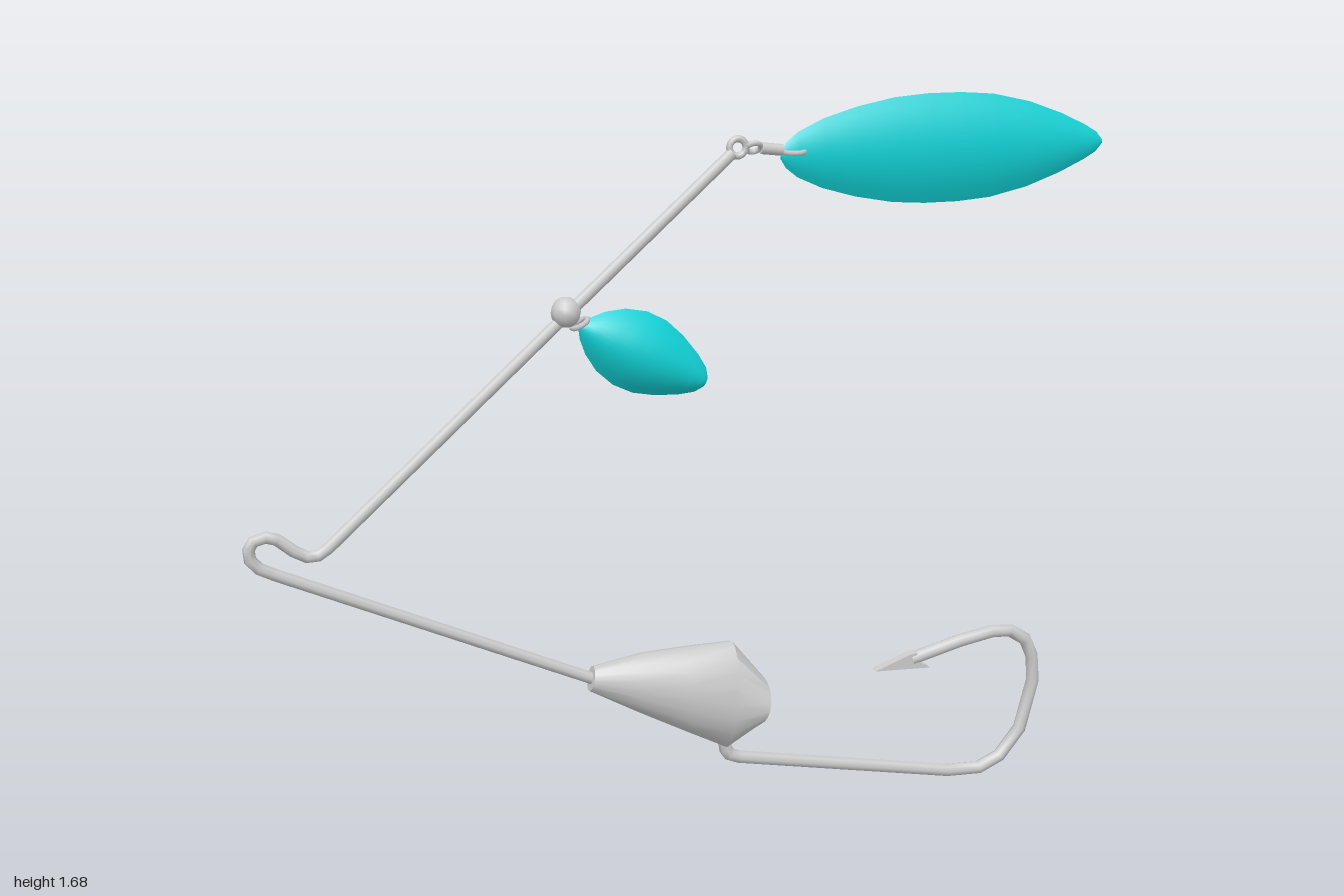
import * as THREE from 'three';
import { toCreasedNormals } from 'three/addons/utils/BufferGeometryUtils.js';

const metal = new THREE.MeshStandardMaterial({ color: 0xcccccc });
const teal = new THREE.MeshStandardMaterial({ color: 0x11d2d6, side: THREE.DoubleSide });
const Z = -0.005; // plane of the wire

// Curve whose tube rings land exactly on the bend points of a polyline
class BentWire extends THREE.Curve {
  constructor(points) {
    super();
    this.points = points.map(([x, y, z = Z]) => new THREE.Vector3(x, y, z));
  }
  getPoint(t) {
    const n = this.points.length - 1;
    const i = Math.min(Math.floor(t * n + 1e-6), n - 1);
    return this.points[i].clone().lerp(this.points[i + 1], t * n - i);
  }
  getPointAt(t) { return this.getPoint(t); }
  getTangentAt(t) {
    const p = this.points, n = p.length - 1, i = Math.round(t * n), tangent = new THREE.Vector3();
    if (i > 0) tangent.add(p[i].clone().sub(p[i - 1]).normalize());
    if (i < n) tangent.add(p[i + 1].clone().sub(p[i]).normalize());
    return tangent.normalize();
  }
}

function add(parent, name, geometry, material = metal, position = [0, 0, 0]) {
  const mesh = new THREE.Mesh(geometry, material);
  mesh.name = name;
  mesh.position.set(...position);
  parent.add(mesh);
  return mesh;
}

function wire(parent, name, points, radius) {
  return add(parent, name, new THREE.TubeGeometry(new BentWire(points), points.length - 1, radius, 8));
}

function indexed(positions, index) {
  const geometry = new THREE.BufferGeometry();
  geometry.setAttribute('position', new THREE.Float32BufferAttribute(positions, 3));
  geometry.setIndex(index);
  return geometry;
}

// Elliptical loft; each section is [topX, topY, bottomX, bottomY, halfDepth]
function headGeometry(sections, sides = 20) {
  const pos = [], index = [];
  sections.forEach(([tx, ty, bx, by, depth]) => {
    for (let j = 0; j < sides; j++) {
      const a = (j / sides) * Math.PI * 2, k = (1 + Math.cos(a)) / 2;
      pos.push(bx + (tx - bx) * k, by + (ty - by) * k, Z + depth * Math.sin(a));
    }
  });
  const last = (sections.length - 1) * sides;
  for (let j = 0; j < sides; j++) {
    const n = (j + 1) % sides;
    for (let r = 0; r < last; r += sides) {
      index.push(r + j, r + n, r + sides + j, r + n, r + sides + n, r + sides + j);
    }
    if (j > 0 && j < sides - 1) {
      index.push(0, n, j, last, last + j, last + n);
    }
  }
  return toCreasedNormals(indexed(pos, index), 0.6);
}

// Dished leaf along x; profile holds [x, halfWidth], bulging towards +z
function bladeGeometry(profile, depth, across = 10) {
  const pos = [], index = [], row = across + 1;
  const widest = Math.max(...profile.map((p) => p[1]));
  profile.forEach(([x, w], i) => {
    const fullness = w / widest;
    for (let j = 0; j <= across; j++) {
      const v = (j / across) * 2 - 1;
      pos.push(x, v * w, depth * fullness * (0.72 - v * v));
      if (i < profile.length - 1 && j < across) {
        const a = i * row + j, b = a + row;
        index.push(a, b, a + 1, b, b + 1, a + 1);
      }
    }
  });
  const geometry = indexed(pos, index);
  geometry.computeVertexNormals();
  return geometry;
}

export function createModel() {
  const model = new THREE.Group();
  model.name = 'spinnerLure';

  // Wire frame with its bent line tie
  wire(model, 'wireFrame', [
    [0.103, 1.565], [-0.28, 1.225], [-0.815, 0.748], [-0.838, 0.733], [-0.862, 0.732],
    [-0.89, 0.748], [-0.925, 0.778], [-0.948, 0.785], [-0.975, 0.778], [-0.986, 0.76],
    [-0.984, 0.737], [-0.965, 0.715], [-0.93, 0.697], [-0.2, 0.36],
  ], 0.014);

  // Weighted head, flattening towards its tail
  add(model, 'head', headGeometry([
    [-0.225, 0.402, -0.238, 0.345, 0.028],
    [-0.11, 0.42, -0.125, 0.28, 0.053],
    [0.0, 0.424, -0.01, 0.217, 0.068],
    [0.11, 0.425, 0.09, 0.163, 0.076],
    [0.19, 0.325, 0.165, 0.22, 0.08],
  ]));

  // Hook with barbed point
  wire(model, 'hook', [
    [0.075, 0.24], [0.09, 0.19], [0.095, 0.155], [0.105, 0.14], [0.13, 0.13],
    [0.4, 0.076], [0.67, 0.022], [0.755, 0.018], [0.81, 0.043], [0.862, 0.11],
    [0.892, 0.235], [0.886, 0.3], [0.866, 0.345], [0.825, 0.372], [0.775, 0.375],
    [0.69, 0.36], [0.565, 0.328],
  ], 0.016);
  const point = new THREE.Shape([
    [0.468, 0.311], [0.61, 0.305], [0.583, 0.32], [0.575, 0.347], [0.555, 0.343],
  ].map(([x, y]) => new THREE.Vector2(x, y)));
  add(model, 'hookPoint', new THREE.ExtrudeGeometry(point, { depth: 0.024, bevelEnabled: false }),
    metal, [0, 0, Z - 0.012]);

  // Swivel chain between the wire's end and the large blade
  const swivel = new THREE.Group();
  swivel.name = 'swivel';
  model.add(swivel);
  add(swivel, 'wireEye', new THREE.TorusGeometry(0.019, 0.008, 6, 14), metal, [0.115, 1.577, Z]);
  const link = add(swivel, 'swivelLink', new THREE.TorusGeometry(0.016, 0.006, 6, 12), metal, [0.152, 1.575, Z]);
  link.rotation.x = Math.PI / 4;
  const barrel = add(swivel, 'swivelBarrel', new THREE.CylinderGeometry(0.013, 0.013, 0.05, 8), metal, [0.194, 1.57, Z]);
  barrel.rotation.z = Math.PI / 2 - 0.12;
  const ring = add(swivel, 'bladeRing', new THREE.TorusGeometry(0.024, 0.006, 6, 14), metal, [0.246, 1.562, Z]);
  ring.rotation.x = Math.PI / 2;

  // Long willow-leaf blade
  add(model, 'largeBlade', bladeGeometry([
    [-0.392, 0.006], [-0.378, 0.028], [-0.35, 0.05], [-0.29, 0.077], [-0.21, 0.1], [-0.12, 0.117],
    [-0.04, 0.123], [0.04, 0.123], [0.12, 0.117], [0.21, 0.097], [0.29, 0.068],
    [0.35, 0.04], [0.38, 0.022], [0.394, 0.004],
  ], 0.034), teal, [0.605, 1.555, -0.002]);

  // Bead and clevis carrying the small blade
  add(model, 'bead', new THREE.SphereGeometry(0.034, 10, 8), metal, [-0.277, 1.235, Z]);
  const clevis = add(model, 'clevis', new THREE.TorusGeometry(0.02, 0.006, 6, 12), metal, [-0.246, 1.208, Z]);
  clevis.rotation.set(Math.PI / 2, 0.5, 0);

  // Short rounded blade
  const small = add(model, 'smallBlade', bladeGeometry([
    [-0.162, 0.006], [-0.148, 0.026], [-0.12, 0.052], [-0.08, 0.076], [-0.03, 0.09],
    [0.02, 0.089], [0.07, 0.074], [0.12, 0.05], [0.15, 0.03], [0.162, 0.012],
  ], 0.05), teal, [-0.103, 1.129, -0.001]);
  small.rotation.z = -0.47;

  return model;
}
